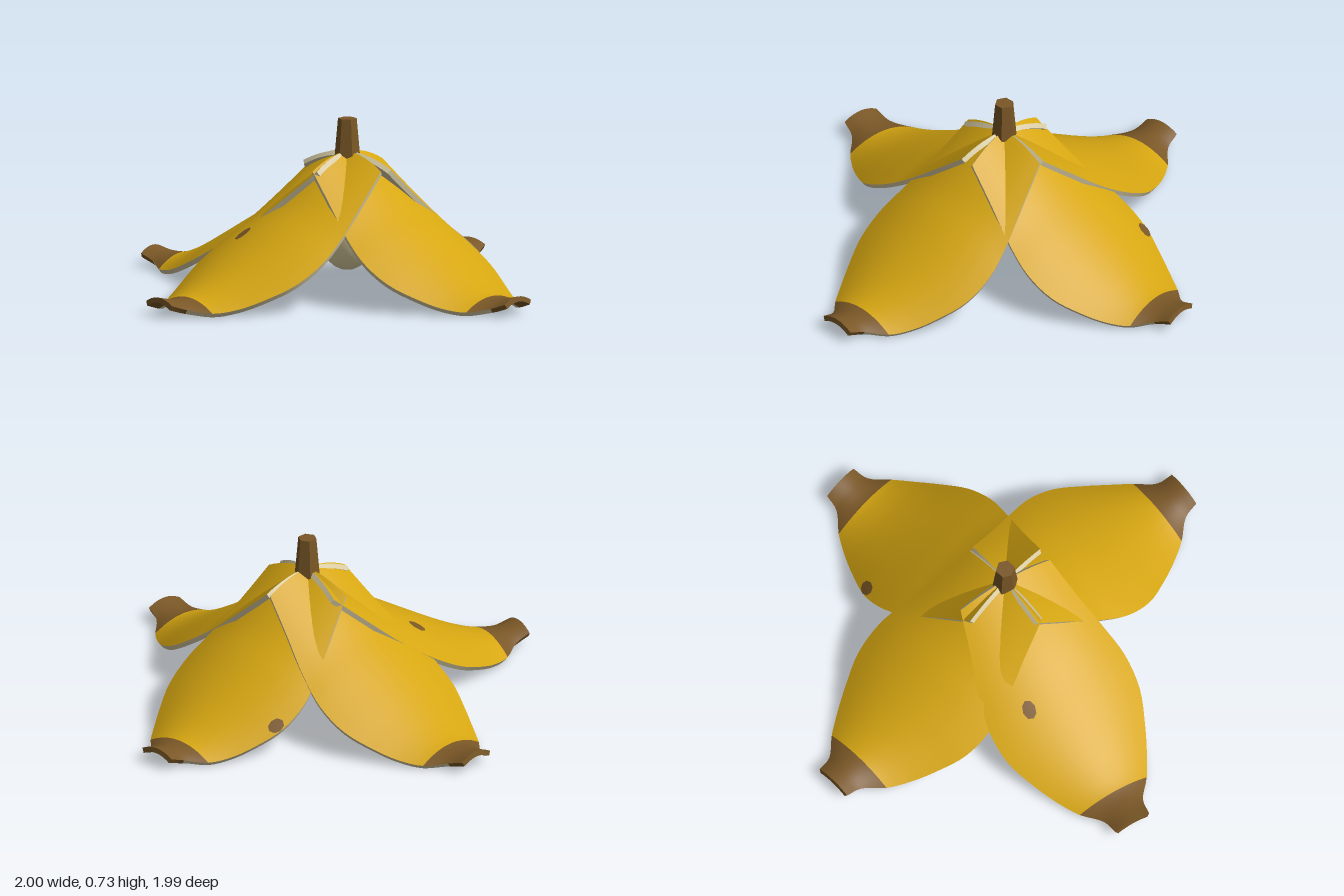
import * as THREE from 'three';

const mat = (name, color) => {
  const m = new THREE.MeshStandardMaterial({ color, side: THREE.DoubleSide });
  m.name = name;
  return m;
};

// Petal stations from stem to tip: [reach, spine height, half width, droop at the edges]
const STATIONS = [
  [0, 0.6, 0.22, 0.06], [0.14, 0.49, 0.26, 0.075], [0.28, 0.385, 0.305, 0.09],
  [0.41, 0.305, 0.335, 0.1], [0.54, 0.225, 0.325, 0.095], [0.66, 0.155, 0.275, 0.08],
  [0.76, 0.105, 0.222, 0.066], [0.85, 0.075, 0.165, 0.05], [0.93, 0.075, 0.097, 0.034],
  [1, 0.09, 0.083, 0.025],
];
const spine = new THREE.CatmullRomCurve3(STATIONS.map(([r, y, w]) => new THREE.Vector3(r, y, w)));
const droop = new THREE.CatmullRomCurve3(STATIONS.map(([r, , , d]) => new THREE.Vector3(r, d, 0)));
const THICK = 0.022;
const ROWS = 36;
const COLS = 16;

// Point on the petal's outer skin: u runs stem to tip, s runs edge to edge (-1..1)
function skin(length, u, s) {
  const p = spine.getPoint(u);
  return new THREE.Vector3(p.x * length, p.y - droop.getPoint(u).y * s * s, p.z * s);
}

// The same point moved along the skin's normal
function offsetSkin(length, u, s, offset) {
  const at = (du, ds) => skin(length, THREE.MathUtils.clamp(u + du, 0, 1), s + ds);
  const along = at(0.01, 0).sub(at(-0.01, 0));
  const across = at(0, 0.01).sub(at(0, -0.01));
  return skin(length, u, s).addScaledVector(across.cross(along).normalize(), offset);
}

// Grid of nu x nv cells over point(a, b), changing material after a row
function sheet(name, point, nu, nv, materials, splitRow = nu, flip = false) {
  const pos = [];
  const index = [];
  for (let i = 0; i <= nu; i++) {
    for (let j = 0; j <= nv; j++) pos.push(...point(i / nu, j / nv).toArray());
  }
  for (let i = 0; i < nu; i++) {
    for (let j = 0; j < nv; j++) {
      const a = i * (nv + 1) + j, b = a + 1, c = a + nv + 1, d = c + 1;
      if (flip) index.push(a, c, b, b, c, d);
      else index.push(a, b, c, b, d, c);
    }
  }
  const geo = new THREE.BufferGeometry();
  geo.setAttribute('position', new THREE.Float32BufferAttribute(pos, 3));
  geo.setIndex(index);
  geo.computeVertexNormals();
  geo.addGroup(0, splitRow * nv * 6, 0);
  if (splitRow < nu) geo.addGroup(splitRow * nv * 6, (nu - splitRow) * nv * 6, 1);
  const mesh = new THREE.Mesh(geo, materials);
  mesh.name = name;
  return mesh;
}

function petal(name, length, yellow, cream, brown) {
  const g = new THREE.Group();
  g.name = name;
  const side = (b) => b * 2 - 1;
  g.add(sheet('outerSkin', (u, b) => skin(length, u, side(b)), ROWS, COLS, [yellow, brown], 28));
  g.add(sheet('innerSkin', (u, b) => offsetSkin(length, u, side(b), -THICK), ROWS, COLS,
    [cream, brown], 32, true));
  // Cut edges along both sides
  for (const s of [-1, 1]) {
    g.add(sheet('cutEdge', (u, b) => offsetSkin(length, u, s, -THICK * b), ROWS, 1,
      [cream, brown], 32, s < 0));
  }
  // Closing strips at stem and tip
  for (const [u, m] of [[0, cream], [1, brown]]) {
    g.add(sheet('endEdge', (a, b) => offsetSkin(length, u, side(a), -THICK * b), COLS, 1,
      [m], COLS, u === 1));
  }
  return g;
}

// Small bruise lying on the skin
function bruise(length, u, s, material) {
  const point = (a, b) => {
    const t = a * Math.PI * 2;
    const ss = THREE.MathUtils.clamp(s + Math.cos(t) * b * 0.085, -1, 1);
    return offsetSkin(length, u + Math.sin(t) * b * 0.03, ss, 0.004);
  };
  return sheet('bruise', point, 8, 2, [material], 8, true);
}

export function createModel() {
  const yellow = mat('peelYellow', 0xd6a611);
  const cream = mat('innerPeelCream', 0xd9cda6);
  const brown = mat('stemBrown', 0x7a5726);
  const pulpColor = mat('pulpCream', 0xe6d9a8);

  const model = new THREE.Group();
  model.name = 'bananaPeel';
  const core = new THREE.Group();
  core.name = 'peel';
  core.position.set(0.02, 0, -0.05);
  model.add(core);

  // Four petals, each aimed at its tip (x, z) relative to the stem
  const tips = [
    ['leftPetal', 0.965, 0.08], ['rightPetal', -1.018, 0.02],
    ['backPetal', -0.07, -0.94], ['frontPetal', -0.225, 1.02],
  ];
  for (const [name, x, z] of tips) {
    const length = Math.hypot(x, z);
    const p = petal(name, length, yellow, cream, brown);
    p.rotation.y = Math.atan2(-z, x);
    if (name === 'frontPetal') p.add(bruise(length, 0.35, 0.45, brown));
    if (name === 'backPetal') p.add(bruise(length, 0.455, -0.92, brown));
    core.add(p);
  }

  // Faceted stem
  const stemGeo = new THREE.CylinderGeometry(0.04, 0.056, 0.18, 6).toNonIndexed();
  stemGeo.computeVertexNormals();
  const stem = new THREE.Mesh(stemGeo, brown);
  stem.name = 'stem';
  stem.position.y = 0.65;
  core.add(stem);

  // Remaining fruit under the peel
  const pulp = new THREE.Mesh(new THREE.SphereGeometry(1, 24, 16), pulpColor);
  pulp.name = 'pulp';
  pulp.scale.set(0.145, 0.23, 0.145);
  pulp.position.y = 0.32;
  core.add(pulp);

  return model;
}
